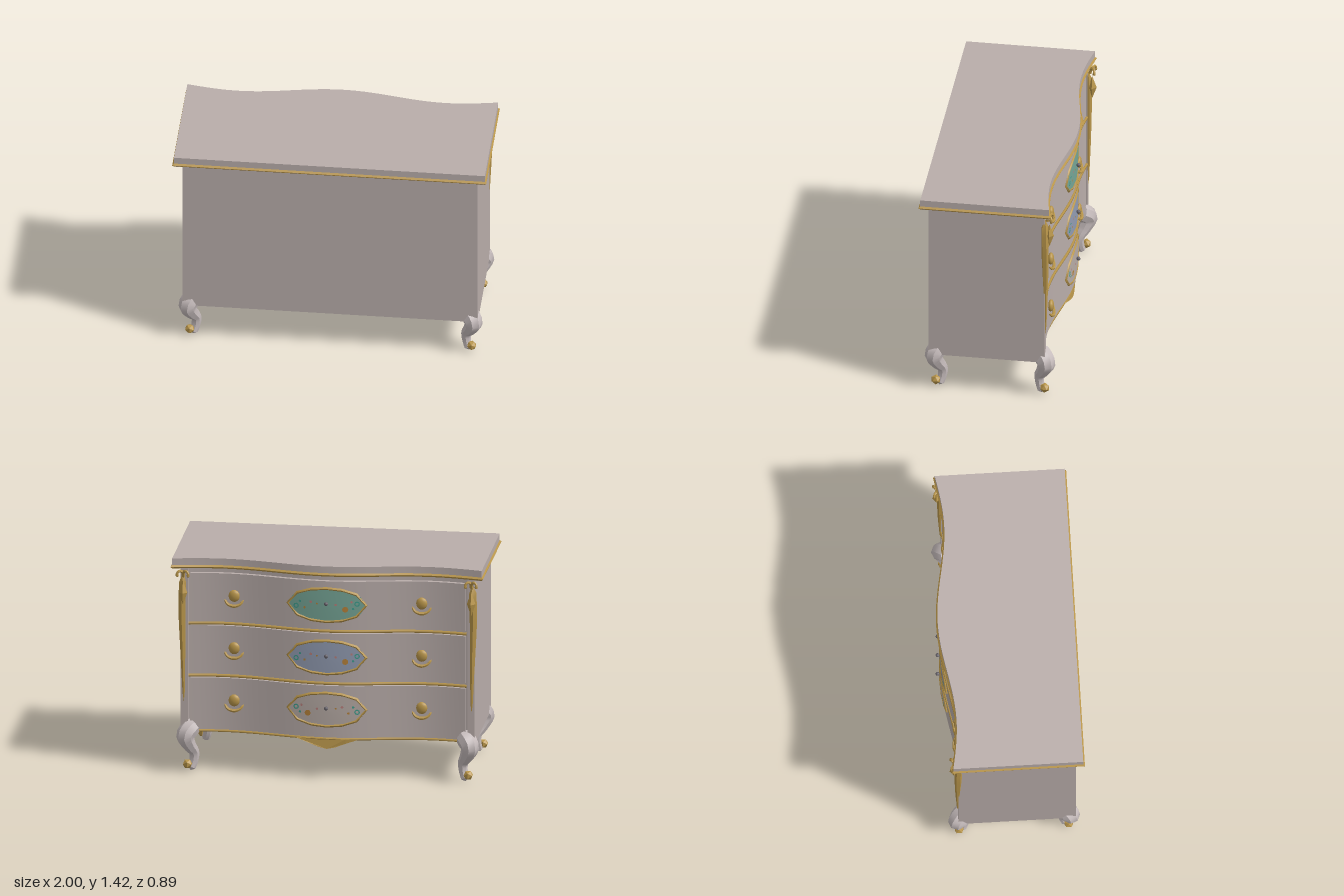
import * as THREE from 'three';
import { toCreasedNormals } from 'three/addons/utils/BufferGeometryUtils.js';

const mat = (name, color) => {
  const m = new THREE.MeshStandardMaterial({ color });
  m.name = name;
  return m;
};

// Depth of the serpentine face (towards -z) at a given x
const wave = (x) => 0.39 + 0.04 * Math.cos((Math.PI * x) / 0.66);
const V = (x, y, z) => new THREE.Vector3(x, y, z);

// Slab with a serpentine edge: outline in plan, extruded upwards
function serpentine(half, back, offset, y, height, bevel = 0) {
  const shape = new THREE.Shape();
  shape.moveTo(-half, -back);
  shape.lineTo(half, -back);
  for (let i = 0; i <= 40; i++) {
    const x = half - (2 * half * i) / 40;
    shape.lineTo(x, wave(x) + offset);
  }
  shape.closePath();
  const geo = new THREE.ExtrudeGeometry(shape, {
    depth: height, bevelEnabled: bevel > 0, bevelThickness: bevel, bevelSize: bevel, bevelSegments: 1,
  });
  geo.rotateX(-Math.PI / 2).translate(0, y, 0);
  return toCreasedNormals(geo, 0.4);
}

// Tube whose radius follows a list; the ends are closed to a point
function taperedTube(points, radii, sides, steps = 14) {
  const curve = new THREE.CatmullRomCurve3(points);
  const geo = new THREE.TubeGeometry(curve, steps, 1, sides);
  const pos = geo.attributes.position;
  const v = V(0, 0, 0);
  for (let i = 0; i <= steps; i++) {
    const centre = curve.getPointAt(i / steps);
    const t = curve.getUtoTmapping(i / steps) * (radii.length - 1);
    const k = Math.min(Math.floor(t), radii.length - 2);
    const end = i === 0 || i === steps;
    const r = end ? 0.0001 : THREE.MathUtils.lerp(radii[k], radii[k + 1], t - k);
    for (let j = 0; j <= sides; j++) {
      const n = i * (sides + 1) + j;
      v.fromBufferAttribute(pos, n).sub(centre).multiplyScalar(r).add(centre);
      pos.setXYZ(n, v.x, v.y, v.z);
    }
  }
  return toCreasedNormals(geo, 0.7);
}

// Turn a flat piece to face -z and lay it on the serpentine face
function bend(geo, offset) {
  geo.rotateY(Math.PI);
  const pos = geo.attributes.position;
  for (let i = 0; i < pos.count; i++) pos.setZ(i, pos.getZ(i) - wave(pos.getX(i)) - offset);
  geo.computeVertexNormals();
  return geo;
}

export function createModel() {
  const root = new THREE.Group();
  root.name = 'serpentineCommode';
  const paint = mat('mauveGreyPaint', 0xb9adaa);
  const legPaint = mat('paleLegPaint', 0xc6bcbc);
  const gold = mat('gilding', 0xb8954a);
  const green = mat('greenPanel', 0x76a596);
  const blue = mat('bluePanel', 0x929cb2);
  const cream = mat('greyPanel', 0xb7aba5);
  const rose = mat('rosePaint', 0xb87f7c);
  const teal = mat('tealPaint', 0x3f9c8c);
  const amber = mat('amberPaint', 0xb5813a);
  const dark = mat('darkMetal', 0x66626a);

  const add = (name, geo, material, parent = root) => {
    const mesh = new THREE.Mesh(geo, material);
    mesh.name = name;
    parent.add(mesh);
    return mesh;
  };

  // Carcass, corner posts and top
  add('carcass', serpentine(0.94, 0.39, -0.045, 0.255, 1.09), paint);
  for (const s of [-1, 1]) {
    add('cornerPost', new THREE.BoxGeometry(0.045, 1.09, 0.1).translate(s * 0.9175, 0.8, -0.305), paint);
  }
  add('topSlab', serpentine(0.99, 0.435, 0, 1.347, 0.068), paint);
  add('topMoulding', serpentine(0.99, 0.435, 0, 1.359, 0.002, 0.01), gold);

  // Gilded rails along the face
  const rail = (y, offset, half, r) => {
    const pts = [];
    for (let i = 0; i <= 24; i++) {
      const x = -half + (2 * half * i) / 24;
      pts.push(V(x, y, -wave(x) - offset));
    }
    add('gildedRail', new THREE.TubeGeometry(new THREE.CatmullRomCurve3(pts), 48, r, 6), gold);
  };
  rail(0.635, -0.02, 0.89, 0.01);
  rail(0.981, -0.02, 0.89, 0.01);
  rail(0.262, -0.043, 0.89, 0.008);

  // Apron ornament under the bottom rail
  const apron = new THREE.Shape();
  [[-0.2, 0.262], [-0.12, 0.234], [-0.05, 0.208], [0, 0.198], [0.05, 0.208], [0.12, 0.234], [0.2, 0.262],
    [0.12, 0.264], [0, 0.265], [-0.12, 0.264]]
    .forEach(([x, y], i) => (i ? apron.lineTo(x, y) : apron.moveTo(x, y)));
  add('apronOrnament', bend(new THREE.ExtrudeGeometry(apron, { depth: 0.025, bevelEnabled: false }), -0.055), gold);

  // Drawers with medallion and two handles each
  [cream, blue, green].forEach((panel, i) => {
    const y = 0.462 + i * 0.346;
    const drawer = new THREE.Group();
    drawer.name = 'drawer';
    root.add(drawer);
    add('drawerFront', serpentine(0.88, -0.25, -0.02, y - 0.157, 0.314), paint, drawer);

    // Medallion panel and gilded frame
    const oval = new THREE.RingGeometry(0, 1, 12, 5).scale(0.25, 0.112, 1).translate(0, y, 0);
    add('medallionPanel', bend(oval, -0.013), panel, drawer);
    const ring = [];
    for (let k = 0; k < 12; k++) {
      const a = (k / 12) * Math.PI * 2;
      ring.push(V(0.25 * Math.cos(a), y + 0.109 * Math.sin(a), 0));
    }
    const path = new THREE.CurvePath();
    ring.forEach((p, k) => path.add(new THREE.LineCurve3(p, ring[(k + 1) % 12])));
    const frame = new THREE.TubeGeometry(new THREE.CatmullRomCurve3(path.curves.map((c) => c.v1), true), 12, 0.011, 6, true);
    add('medallionFrame', bend(frame, -0.02), gold, drawer);

    // Painted flowers
    const dir = i === 0 ? -1 : 1;
    const dot = (name, x, dy, r, material, hole = 0) => {
      const g = new THREE.RingGeometry(hole, r, 8, 1).translate(x * dir, y + dy, 0);
      add(name, bend(g, -0.009), material, drawer);
    };
    dot('amberFlower', 0.12, -0.025, 0.02, amber);
    dot('roseFlower', -0.1, 0.02, 0.009, rose);
    dot('roseFlower', 0.06, 0.005, 0.008, rose);
    dot('roseFlower', 0.16, 0.025, 0.008, rose);
    dot('amberBud', -0.14, -0.02, 0.008, amber);
    dot('amberBud', -0.06, 0.01, 0.006, amber);
    for (const s of [-1, 1]) {
      dot('tealWreath', s * 0.195, s * 0.012, 0.018, teal, 0.01);
      dot('tealLeaf', s * 0.17, -s * 0.02, 0.008, teal);
    }
    add('medallionBoss', new THREE.SphereGeometry(0.013, 8, 6).translate(0, y + 0.012, -0.431), dark, drawer);

    // Handles: oval knob above a drop bail
    for (const s of [-1, 1]) {
      const x = s * 0.6;
      const z = -wave(x) + 0.02;
      const knob = new THREE.SphereGeometry(0.036, 12, 8).scale(1, 1.1, 0.55);
      add('handleKnob', knob.translate(x, y + 0.015, z - 0.012), gold, drawer);
      const bail = taperedTube(
        [V(x - 0.062, y - 0.008, z - 0.012), V(x - 0.04, y - 0.036, z - 0.025), V(x, y - 0.048, z - 0.03),
          V(x + 0.04, y - 0.036, z - 0.025), V(x + 0.062, y - 0.008, z - 0.012)],
        [0.007, 0.009, 0.012, 0.009, 0.007], 6);
      add('handleBail', bail, gold, drawer);
    }
  });

  // Corner mounts: long tapering drop, leaf and two curls
  for (const s of [-1, 1]) {
    const mount = new THREE.Group();
    mount.name = 'cornerMount';
    root.add(mount);
    const drop = [V(s * 0.925, 1.315, -0.352), V(s * 0.932, 1.1, -0.354), V(s * 0.926, 0.8, -0.356), V(s * 0.92, 0.46, -0.355)];
    add('cornerDrop', taperedTube(drop, [0.024, 0.026, 0.018, 0.006], 6), gold, mount);
    const leaf = new THREE.OctahedronGeometry(1).scale(0.028, 0.08, 0.028);
    add('cornerLeaf', leaf.translate(s * 0.922, 1.19, -0.383), gold, mount);
    for (const d of [-1, 1]) {
      const curl = [[0, 1.285, -0.365], [0.004, 1.325, -0.38], [0.024, 1.334, -0.395], [0.036, 1.315, -0.4], [0.03, 1.295, -0.398]];
      const pts = curl.map(([x, y, z]) => V(s * 0.922 + d * x, y, z));
      add('cornerCurl', taperedTube(pts, [0.012, 0.01, 0.008, 0.009, 0.011], 6), gold, mount);
    }
  }

  // Cabriole legs with gilded toes
  const legPath = [[0.855, 0.3], [0.885, 0.275], [0.91, 0.235], [0.888, 0.17], [0.86, 0.115], [0.863, 0.055], [0.88, 0.0]];
  for (const sx of [-1, 1]) {
    for (const sz of [-1, 1]) {
      const leg = new THREE.Group();
      leg.name = 'leg';
      root.add(leg);
      const pts = legPath.map(([x, y]) => V(sx * x, y, sz * (x - 0.55)));
      add('cabrioleLeg', taperedTube(pts, [0.055, 0.062, 0.06, 0.045, 0.033, 0.028, 0.024], 8, 20), legPaint, leg);
      add('gildedToe', new THREE.IcosahedronGeometry(0.032).translate(sx * 0.898, 0.046, sz * 0.348), gold, leg);
    }
  }
  return root;
}
